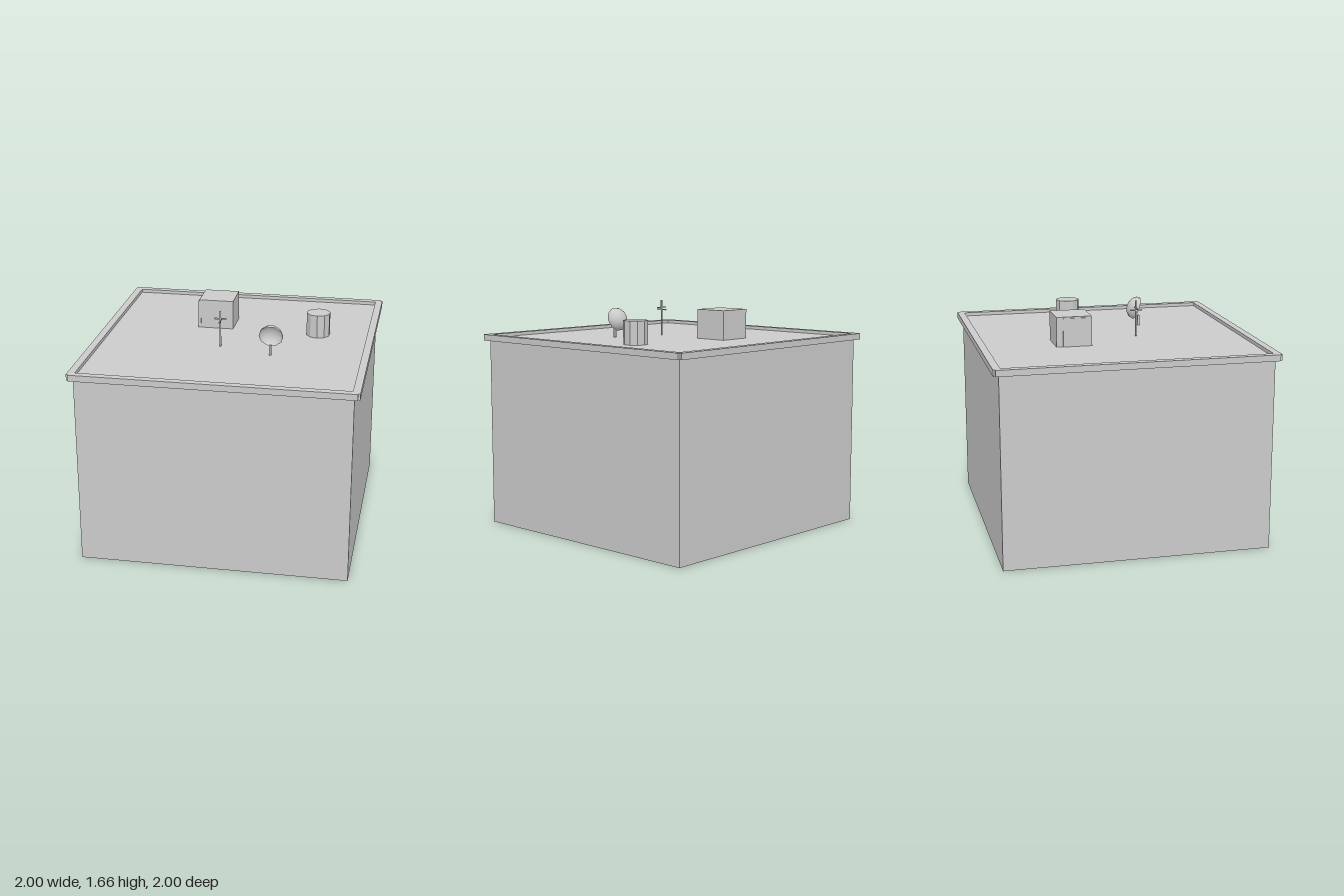
import * as THREE from 'three';

const mat = new THREE.MeshStandardMaterial({ color: 0xcccccc, flatShading: true });
const smoothMat = new THREE.MeshStandardMaterial({ color: 0xcccccc, side: THREE.DoubleSide });

const ROOF = 1.4;

export function createModel() {
  const root = new THREE.Group();

  function add(parent, name, geometry, x, y, z, material = mat) {
    const mesh = new THREE.Mesh(geometry, material);
    mesh.name = name;
    mesh.position.set(x, y, z);
    parent.add(mesh);
    return mesh;
  }
  function group(name) {
    const g = new THREE.Group();
    g.name = name;
    root.add(g);
    return g;
  }
  // Box given by its lower face's centre
  function block(parent, name, w, h, d, x, y, z) {
    return add(parent, name, new THREE.BoxGeometry(w, h, d), x, y + h / 2, z);
  }

  // Building body, its top forming the flat roof
  block(root, 'building', 1.92, ROOF, 1.92, 0, 0, 0);

  // Parapet ring with small notches at the outer corners
  const outer = 1, notch = 0.985, inner = 0.947;
  const points = [];
  for (const [sx, sy] of [[1, 1], [-1, 1], [-1, -1], [1, -1]]) {
    const corner = [[outer, notch], [notch, notch], [notch, outer]];
    if (sx * sy < 0) corner.reverse();
    for (const [x, y] of corner) points.push(new THREE.Vector2(sx * x, sy * y));
  }
  const ring = new THREE.Shape(points);
  ring.holes.push(new THREE.Path([[-inner, -inner], [-inner, inner], [inner, inner], [inner, -inner]]
    .map(([x, y]) => new THREE.Vector2(x, y))));
  const parapet = new THREE.ExtrudeGeometry(ring, { depth: 0.045, bevelEnabled: false });
  parapet.rotateX(-Math.PI / 2);
  add(root, 'parapet', parapet, 0, 1.38, 0);

  // Stair hut with a door on its -x side
  const hut = group('roofHut');
  block(hut, 'hut', 0.256, 0.215, 0.256, -0.187, ROOF, -0.32);
  block(hut, 'hutDoor', 0.02, 0.205, 0.21, -0.312, ROOF, -0.295);

  // Water tank
  add(root, 'waterTank', new THREE.CylinderGeometry(0.088, 0.088, 0.17, 10), 0.583, ROOF + 0.085, -0.188);

  // Satellite dish: shallow bowl tilted forward, with a short post
  const dish = group('satelliteDish');
  const bowl = new THREE.SphereGeometry(0.088, 10, 6, 0, Math.PI * 2, 0, Math.PI / 2);
  bowl.scale(1, 0.8, 1);
  bowl.rotateX(-Math.PI / 2 + 0.35);
  add(dish, 'dishBowl', bowl, 0.3, 1.533, 0.291, smoothMat);
  block(dish, 'dishPost', 0.014, 0.078, 0.014, 0.3, ROOF, 0.31);

  // Antenna mast with two crossed bars
  const antenna = group('antenna');
  block(antenna, 'mast', 0.01, 0.265, 0.01, -0.082, ROOF, 0.193);
  block(antenna, 'crossBarX', 0.088, 0.009, 0.009, -0.082, 1.605, 0.193);
  block(antenna, 'crossBarZ', 0.009, 0.009, 0.09, -0.082, 1.589, 0.193);

  return root;
}
